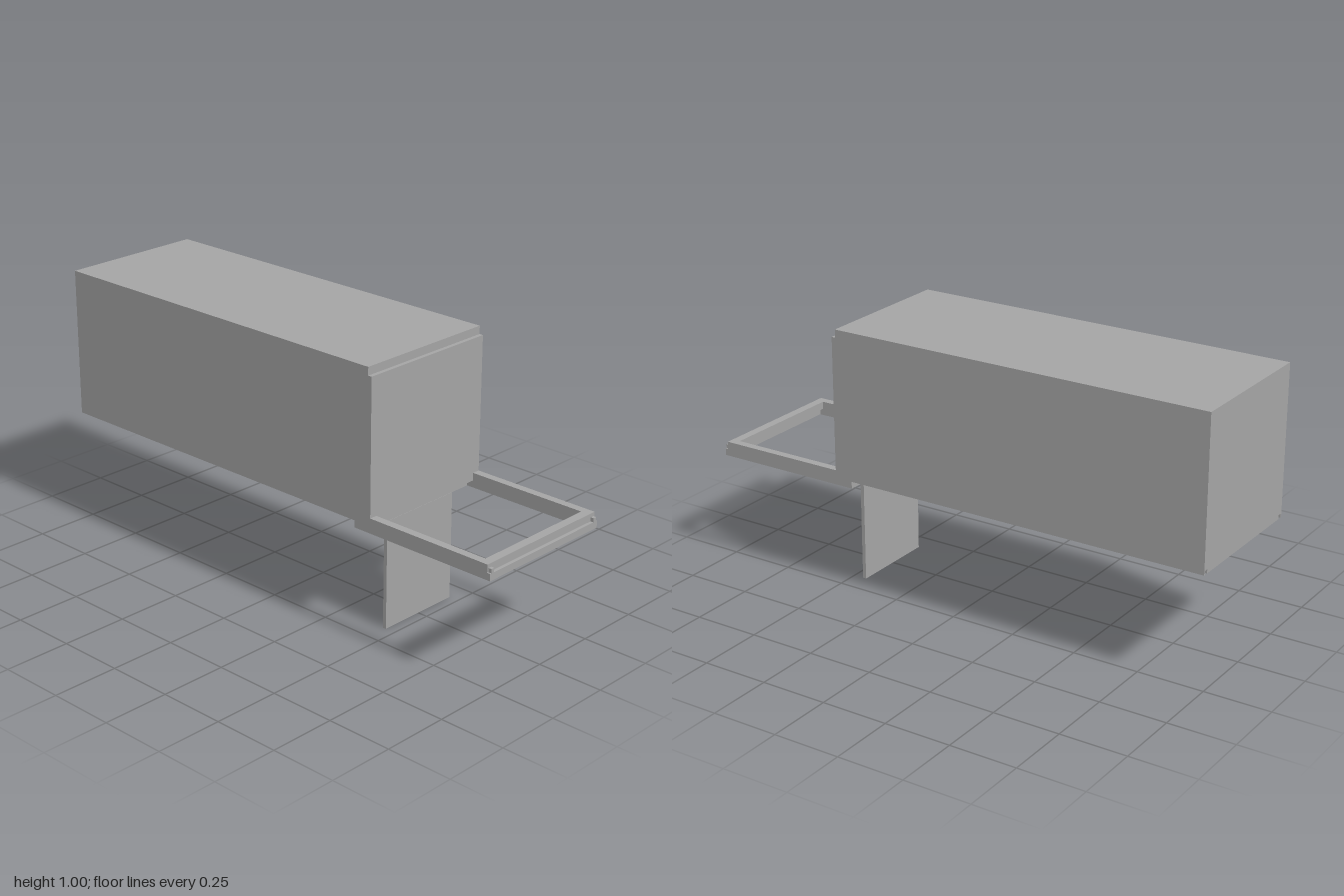
import * as THREE from 'three';

const material = new THREE.MeshStandardMaterial({ color: 0xa4a4a4, flatShading: true });

// Box given by its limits on each axis
function block(parent, name, [x0, x1], [y0, y1], [z0, z1]) {
  const mesh = new THREE.Mesh(new THREE.BoxGeometry(x1 - x0, y1 - y0, z1 - z0), material);
  mesh.position.set((x0 + x1) / 2, (y0 + y1) / 2, (z0 + z1) / 2);
  mesh.name = name;
  parent.add(mesh);
}

// Front outline pulled along z
function profile(parent, name, points, z0, z1) {
  const shape = new THREE.Shape(points.map(([x, y]) => new THREE.Vector2(x, y)));
  const geometry = new THREE.ExtrudeGeometry(shape, { depth: z1 - z0, bevelEnabled: false });
  const mesh = new THREE.Mesh(geometry, material);
  mesh.position.z = z0;
  mesh.name = name;
  parent.add(mesh);
}

export function createModel() {
  const model = new THREE.Group();
  const W = 0.28, IN = 0.25;
  const BOTTOM = 0.434, ROOF = 0.965, TOP = 0.995;
  const BACK = -1, FRONT = 0.485, WALL = 0.015;

  // Long case, open underneath
  const body = new THREE.Group();
  body.name = 'case';
  model.add(body);
  block(body, 'roof', [-W, W], [ROOF, TOP], [BACK, 0.47]);

  // Side walls with a groove along the lower edge
  for (const s of [1, -1]) {
    const outline = [
      [IN, BOTTOM], [0.26, BOTTOM], [0.26, 0.449], [0.274, 0.449],
      [0.274, BOTTOM], [W, BOTTOM], [W, ROOF], [IN, ROOF],
    ].map(([x, y]) => [s * x, y]);
    profile(body, s > 0 ? 'leftWall' : 'rightWall', outline, BACK, FRONT);
  }

  // End walls and the two dividers between three equal compartments
  block(body, 'frontWall', [-IN, IN], [BOTTOM, ROOF], [FRONT - WALL, FRONT]);
  block(body, 'backWall', [-IN, IN], [BOTTOM, ROOF], [BACK, BACK + WALL]);
  const pitch = (FRONT - BACK) / 3;
  for (let i = 1; i < 3; i++) {
    const z = BACK + i * pitch;
    block(body, 'divider', [-IN, IN], [BOTTOM, ROOF], [z, z + WALL]);
  }

  // Open frame projecting from the front
  const frame = new THREE.Group();
  frame.name = 'frame';
  model.add(frame);
  const low = 0.408, high = 0.463;
  for (const s of [1, -1]) {
    const x = s > 0 ? [IN, W] : [-W, -IN];
    block(frame, 'sideRail', x, [low, high], [FRONT, 0.988]);
    block(frame, 'railEnd', x, [low, BOTTOM], [0.415, FRONT]);
  }
  block(frame, 'rearBar', [-IN, IN], [low, BOTTOM], [0.415, 0.46]);

  // Front bar, its lower half stepped forward
  block(frame, 'frontBarUpper', [-IN, IN], [BOTTOM, high], [0.955, 0.988]);
  block(frame, 'frontBarLower', [-IN, IN], [low, BOTTOM], [0.97, 0.988]);

  // Front lip with a short tongue near each end
  profile(frame, 'frontLip', [
    [-W, low], [W, low], [W, BOTTOM], [0.274, BOTTOM], [0.274, 0.449], [0.26, 0.449], [0.26, BOTTOM],
    [-0.26, BOTTOM], [-0.26, 0.449], [-0.274, 0.449], [-0.274, BOTTOM], [-W, BOTTOM],
  ], 0.988, 1);

  // Thin upright panel below the frame
  block(model, 'supportPanel', [-0.168, 0.168], [0, low], [0.447, 0.461]);
  return model;
}
